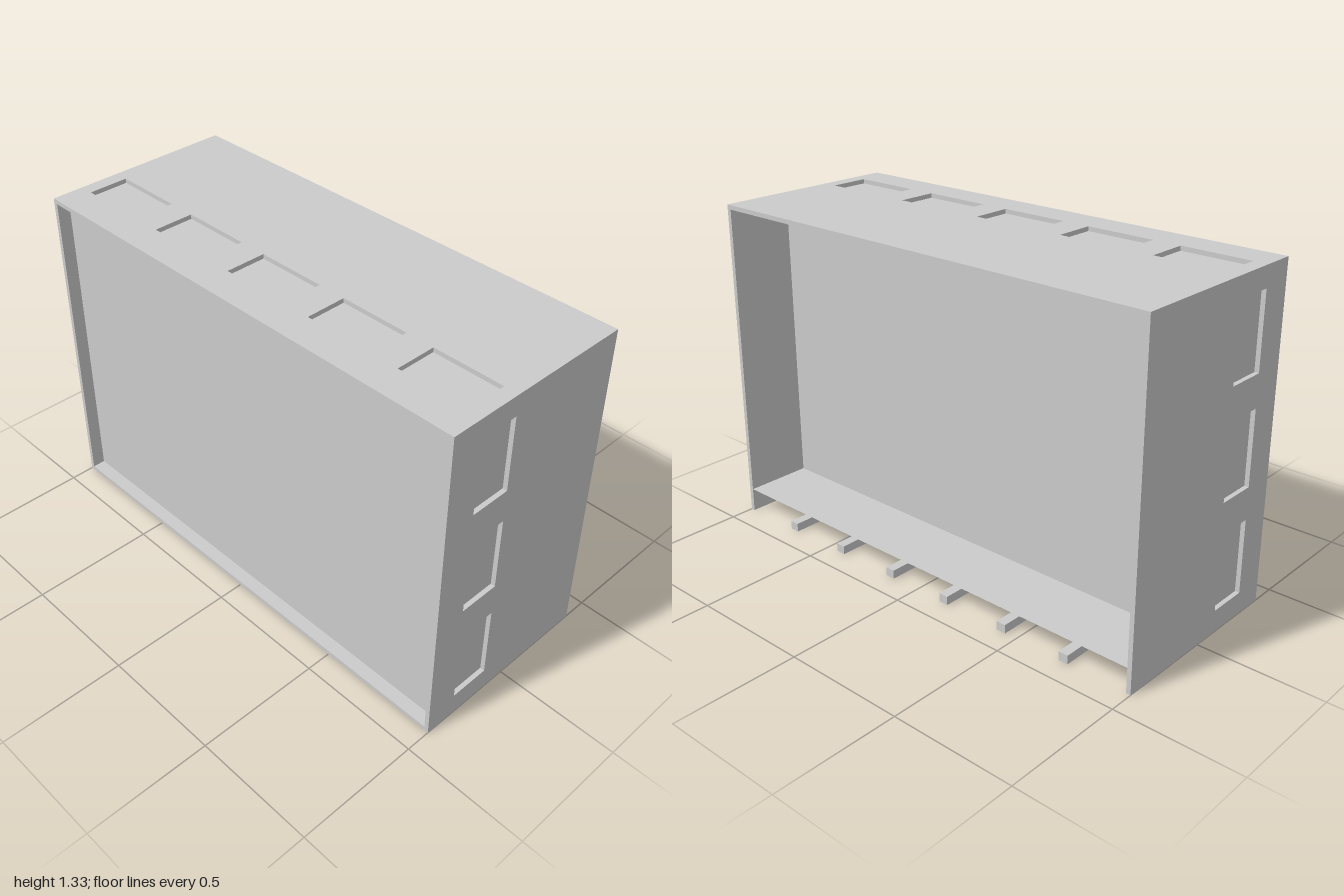
import * as THREE from 'three';

const W = 2, H = 1.333, D = 0.8;      // overall size
const T = 0.018;                      // shell thickness
const FRONT = 0.347, BACK = -0.12;    // faces of the inner core
const SLOT_Z = [0.105, 0.27];         // depth range of every window recess

const grey = new THREE.MeshStandardMaterial({ color: 0xcccccc, flatShading: true });
const thin = new THREE.MeshStandardMaterial({ color: 0xcccccc, side: THREE.DoubleSide });

function rect(Kind, x0, x1, y0, y1) {
  const r = new Kind();
  r.moveTo(x0, y0);
  r.lineTo(x1, y0);
  r.lineTo(x1, y1);
  r.lineTo(x0, y1);
  r.closePath();
  return r;
}

// Flat plate with rectangular holes, extruded by the shell thickness
function plate(outline, holes) {
  const shape = rect(THREE.Shape, ...outline);
  holes.forEach(h => shape.holes.push(rect(THREE.Path, ...h)));
  return new THREE.ExtrudeGeometry(shape, { depth: T, bevelEnabled: false });
}

export function createModel() {
  const model = new THREE.Group();
  model.name = 'hollowCabinet';
  const add = (name, geometry, material = grey) => {
    const mesh = new THREE.Mesh(geometry, material);
    mesh.name = name;
    model.add(mesh);
    return mesh;
  };
  const box = (name, x0, x1, y0, y1, z0, z1) =>
    add(name, new THREE.BoxGeometry(x1 - x0, y1 - y0, z1 - z0))
      .position.set((x0 + x1) / 2, (y0 + y1) / 2, (z0 + z1) / 2);

  // Core that closes the front, the rear bay and the recess bottoms
  const inner = W / 2 - T;
  box('core', -inner, inner, T, H - T, BACK, FRONT);

  // Top and bottom plates with five recesses each; the bottom stops at the rear bay
  const acrossHoles = [-0.8, -0.4, 0, 0.4, 0.8]
    .map(x => [x - 0.1425, x + 0.1425, -SLOT_Z[1], -SLOT_Z[0]]);
  const addLevel = (name, backZ, y) => {
    const g = plate([-inner, inner, -D / 2, -backZ], acrossHoles);
    g.rotateX(-Math.PI / 2).translate(0, y, 0);
    add(name, g);
  };
  addLevel('topPlate', -D / 2, H - T);
  addLevel('bottomPlate', BACK, 0);

  // Side plates with three recesses each
  const sideHoles = [0.24, 0.67, 1.1]
    .map(y => [-SLOT_Z[1], -SLOT_Z[0], y - 0.15, y + 0.15]);
  for (const [name, x] of [['leftSide', inner], ['rightSide', -W / 2]]) {
    const g = plate([-D / 2, D / 2, 0, H], sideHoles);
    g.rotateY(Math.PI / 2).translate(x, 0, 0);
    add(name, g);
  }

  // Raised thin floor of the rear bay
  const floor = new THREE.PlaneGeometry(2 * inner, BACK + D / 2);
  floor.rotateX(-Math.PI / 2).translate(0, 0.1, (BACK - D / 2) / 2);
  add('rearFloor', floor, thin);

  // Six bars across the opening below the rear floor
  for (let i = 0; i < 6; i++) {
    const x = (i - 2.5) * (W / 7);
    box('bottomBar', x - 0.02, x + 0.02, 0, 0.035, -D / 2, BACK);
  }
  return model;
}
